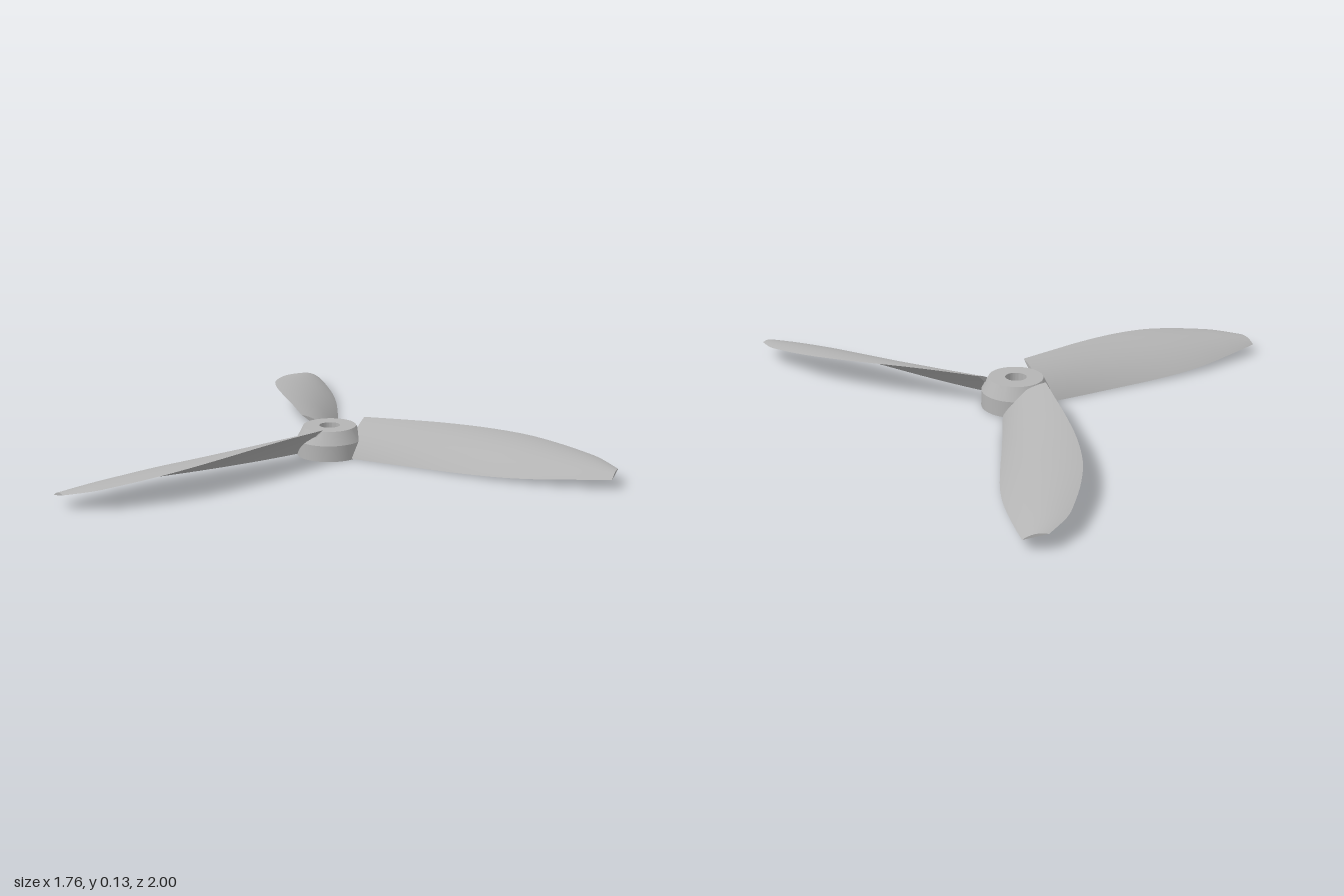
import * as THREE from 'three';
import { toCreasedNormals } from 'three/addons/utils/BufferGeometryUtils.js';

const V = (x, y, z) => new THREE.Vector3(x, y, z);

// Blade lofted along +x between a high back edge and a low front edge
function bladeGeometry() {
  // radius, back z, back y, front z, front y
  const stations = [
    [0.10, -0.105, 0.130, 0.050, 0.004],
    [0.25, -0.130, 0.130, 0.055, 0.003],
    [0.40, -0.157, 0.128, 0.061, 0.004],
    [0.57, -0.182, 0.121, 0.071, 0.007],
    [0.73, -0.190, 0.110, 0.076, 0.013],
    [0.86, -0.175, 0.096, 0.069, 0.021],
    [0.98, -0.145, 0.081, 0.051, 0.030],
    [1.05, -0.118, 0.071, 0.038, 0.034],
    [1.13, -0.060, 0.058, 0.020, 0.038],
  ];
  const back = new THREE.CatmullRomCurve3(stations.map(s => V(s[0], s[2], s[1])), false, 'catmullrom');
  const front = new THREE.CatmullRomCurve3(stations.map(s => V(s[0], s[4], s[3])), false, 'catmullrom');
  const rows = 32, half = 12, ring = half * 2;
  const pos = [], index = [];
  for (let r = 0; r <= rows; r++) {
    const f = front.getPoint(r / rows), b = back.getPoint(r / rows);
    const chord = b.clone().sub(f);
    const length = chord.length();
    const up = V(0, -chord.z, chord.y).normalize();
    for (let i = 0; i < ring; i++) {
      const upper = i <= half;
      const a = (upper ? i : ring - i) / half;
      const t = (1 - Math.cos(Math.PI * a)) / 2;
      // cambered airfoil section
      const bulge = 4 * t * (1 - t) * length * (upper ? 0.115 : 0.03);
      const p = f.clone().addScaledVector(chord, t).addScaledVector(up, bulge);
      pos.push(p.x, p.y, p.z);
    }
  }
  for (let r = 0; r < rows; r++) {
    for (let i = 0; i < ring; i++) {
      const j = (i + 1) % ring;
      const a = r * ring + i, c = r * ring + j;
      index.push(a, a + ring, c, a + ring, c + ring, c);
    }
  }
  // root and tip caps
  const tip = rows * ring;
  for (let i = 1; i < ring - 1; i++) {
    index.push(0, i, i + 1, tip, tip + i + 1, tip + i);
  }
  const g = new THREE.BufferGeometry();
  g.setAttribute('position', new THREE.Float32BufferAttribute(pos, 3));
  g.setIndex(index);
  return toCreasedNormals(g, 0.7);
}

export function createModel() {
  const model = new THREE.Group();
  model.name = 'propeller';
  const grey = new THREE.MeshStandardMaterial({ color: 0xb4b4b4 });
  grey.name = 'light grey';

  const rotor = new THREE.Group();
  rotor.name = 'rotor';
  rotor.position.set(-0.26, 0, -0.01);
  model.add(rotor);

  // Hub with shaft hole and tapered top
  const profile = [[0.04, 0], [0.128, 0], [0.128, 0.062], [0.102, 0.112], [0.04, 0.112], [0.04, 0]]
    .map(p => new THREE.Vector2(...p));
  const hub = new THREE.Mesh(toCreasedNormals(new THREE.LatheGeometry(profile, 64), 0.4), grey);
  hub.name = 'hub';
  rotor.add(hub);

  // Three equal blades
  const geometry = bladeGeometry();
  for (let i = 0; i < 3; i++) {
    const blade = new THREE.Mesh(geometry, grey);
    blade.name = 'blade' + (i + 1);
    blade.rotation.y = i * Math.PI * 2 / 3;
    rotor.add(blade);
  }
  return model;
}
